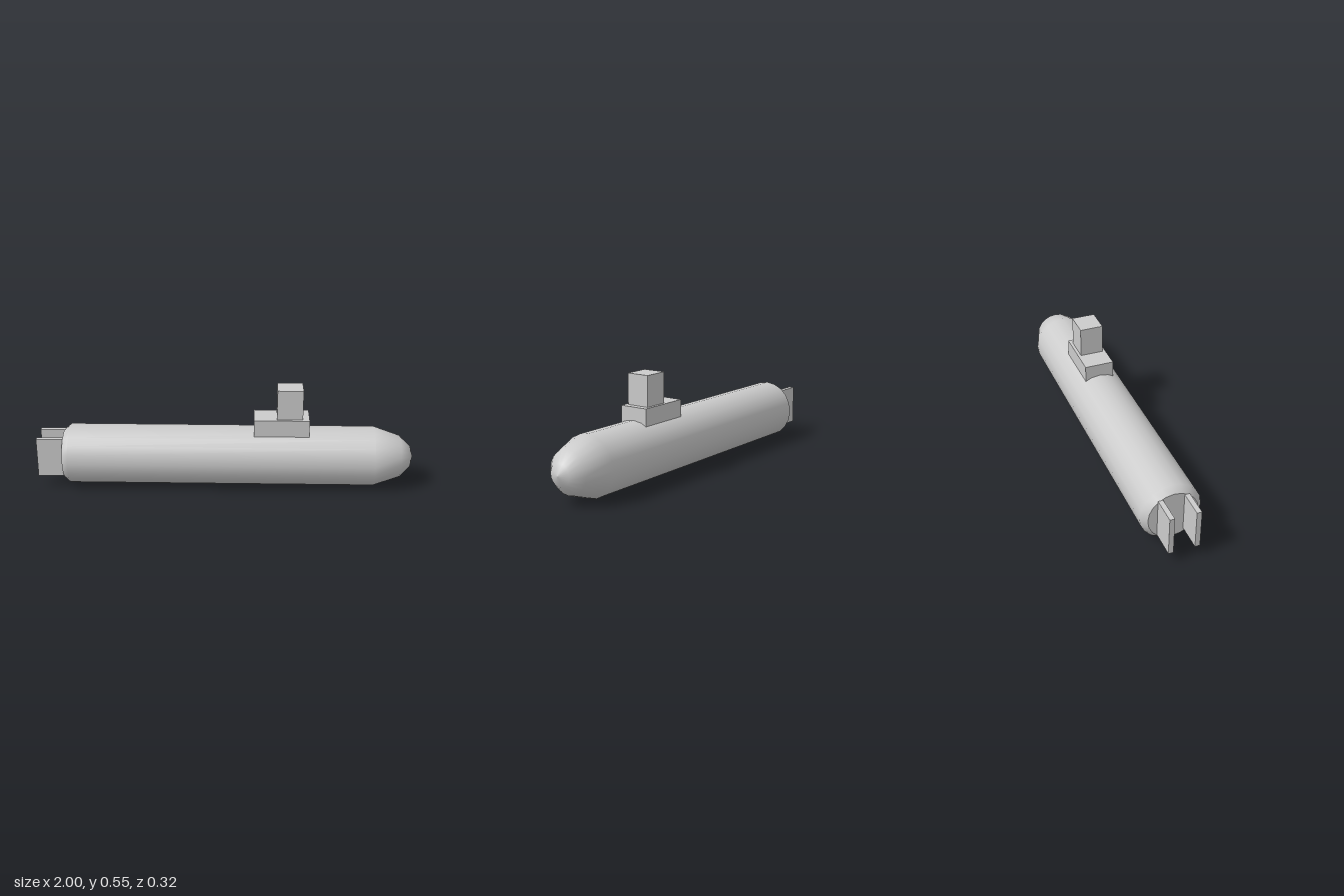
import * as THREE from 'three';

const material = new THREE.MeshStandardMaterial({ color: 0xcccccc });
const SIDES = 20;
const AXIS_Y = 0.159;

function addMesh(parent, name, geometry, x, y, z) {
  const mesh = new THREE.Mesh(geometry, material);
  mesh.name = name;
  mesh.position.set(x, y, z);
  parent.add(mesh);
  return mesh;
}

// Box given by its lower and upper limits on each axis
function addBox(parent, name, [x0, x1], [y0, y1], [z0, z1]) {
  return addMesh(parent, name, new THREE.BoxGeometry(x1 - x0, y1 - y0, z1 - z0),
    (x0 + x1) / 2, (y0 + y1) / 2, (z0 + z1) / 2);
}

export function createModel() {
  const model = new THREE.Group();
  model.name = 'submarine';

  // Hull: [radius, x] from the stern edge to the rounded bow
  const profile = [
    [0.13, -0.862], [0.159, -0.828], [0.159, 0.785],
    [0.111, 0.925], [0.058, 0.98], [0, 0.997],
  ].map(([r, x]) => new THREE.Vector2(r, x));
  const hull = new THREE.LatheGeometry(profile, SIDES).rotateZ(-Math.PI / 2);
  addMesh(model, 'hull', hull, 0, AXIS_Y, 0);

  // Flat stern plate
  const stern = new THREE.CircleGeometry(0.13, SIDES).rotateY(-Math.PI / 2);
  addMesh(model, 'sternPlate', stern, -0.862, AXIS_Y, 0);

  // Deck base and conning tower
  addBox(model, 'deckBase', [0.15, 0.44], [0.29, 0.386], [-0.078, 0.078]);
  addBox(model, 'conningTower', [0.27, 0.405], [0.386, 0.546], [-0.062, 0.062]);

  // Pair of upright tail fins
  for (const [name, side] of [['leftTailFin', -1], ['rightTailFin', 1]]) {
    const z = side * 0.068;
    addBox(model, name, [-1, -0.862], [0.06, 0.27], [z - 0.013, z + 0.013]);
  }

  return model;
}
